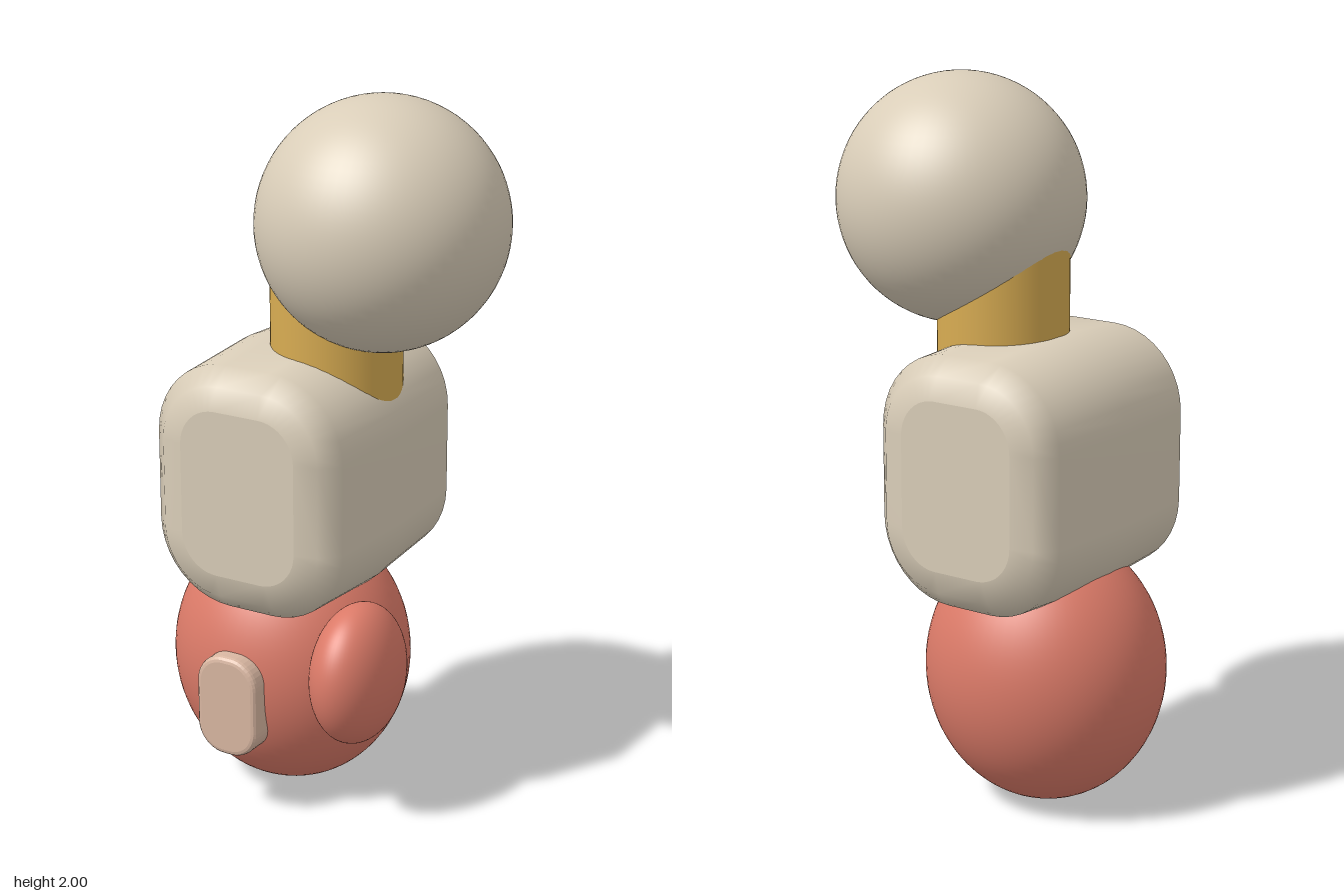
import * as THREE from 'three';

const mat = (name, color) => {
  const m = new THREE.MeshStandardMaterial({ color });
  m.name = name;
  return m;
};

// Points of a rounded rectangle, counter-clockwise
function roundedOutline(hw, hh, r, steps = 10) {
  const pts = [];
  [[1, 1], [-1, 1], [-1, -1], [1, -1]].forEach(([sx, sy], q) => {
    for (let i = 0; i <= steps; i++) {
      const a = (q + i / steps) * Math.PI / 2;
      pts.push(new THREE.Vector2(sx * (hw - r) + r * Math.cos(a), sy * (hh - r) + r * Math.sin(a)));
    }
  });
  return pts;
}

// Smooth wall lofted through inset copies of a rounded rectangle; sections are [inset, z]
function loftWall(hw, hh, r, sections) {
  const pos = [], index = [];
  const n = roundedOutline(hw, hh, r).length;
  sections.forEach(([inset, z], k) => {
    for (const p of roundedOutline(hw - inset, hh - inset, r - inset)) pos.push(p.x, p.y, z);
    if (k === 0) return;
    for (let i = 0; i < n; i++) {
      const j = (i + 1) % n, a = (k - 1) * n, b = k * n;
      index.push(a + i, b + i, a + j, a + j, b + i, b + j);
    }
  });
  const g = new THREE.BufferGeometry();
  g.setAttribute('position', new THREE.Float32BufferAttribute(pos, 3));
  g.setIndex(index);
  g.computeVertexNormals();
  return g;
}

export function createModel() {
  const root = new THREE.Group();
  const stone = mat('warm stone', 0xd9cdb8);
  const coral = mat('coral red', 0xdb7a68);
  const ochre = mat('ochre', 0xd8ac52);
  const blush = mat('pale blush', 0xd9b7a2);

  const add = (name, geometry, material, x, y, z, parent = root) => {
    const m = new THREE.Mesh(geometry, material);
    m.name = name;
    m.position.set(x, y, z);
    parent.add(m);
    return m;
  };
  const ellipsoid = (rx, ry, rz) => new THREE.SphereGeometry(1, 64, 40).scale(rx, ry, rz);

  // Round head set off to one side of the neck
  add('head', ellipsoid(0.34, 0.34, 0.34), stone, 0.14, 1.66, 0);
  add('neck', new THREE.CylinderGeometry(0.18, 0.18, 0.6, 64), ochre, 0, 1.3, 0);

  // Pillow-shaped torso with flat front and back
  const torso = new THREE.Group();
  torso.name = 'torso';
  torso.position.set(-0.1, 0.955, 0);
  root.add(torso);
  const half = [[0.127, 0.355], [0.063, 0.34], [0.015, 0.29]];
  const sections = [...half, [0, 0], ...half.map(([i, z]) => [i, -z]).reverse()];
  add('torsoWall', loftWall(0.303, 0.36, 0.235, sections), stone, 0, 0, 0, torso);
  const cap = new THREE.ShapeGeometry(new THREE.Shape(roundedOutline(0.176, 0.233, 0.108)));
  add('torsoFront', cap, stone, 0, 0, 0.355, torso);
  add('torsoBack', cap, stone, 0, 0, -0.355, torso).rotation.y = Math.PI;

  // Egg-shaped base and the lobe on its left
  add('base', ellipsoid(0.34, 0.38, 0.32), coral, -0.145, 0.384, 0);
  add('sideLobe', ellipsoid(0.117, 0.2, 0.18), coral, 0.156, 0.43, 0.15);

  // Rounded tab on the front of the base
  const tab = new THREE.ExtrudeGeometry(new THREE.Shape(roundedOutline(0.08, 0.131, 0.068)), {
    depth: 0.125, bevelEnabled: true, bevelThickness: 0.015, bevelSize: 0.015, bevelSegments: 3,
  });
  add('frontTab', tab, blush, -0.145, 0.336, 0.215);

  return root;
}
